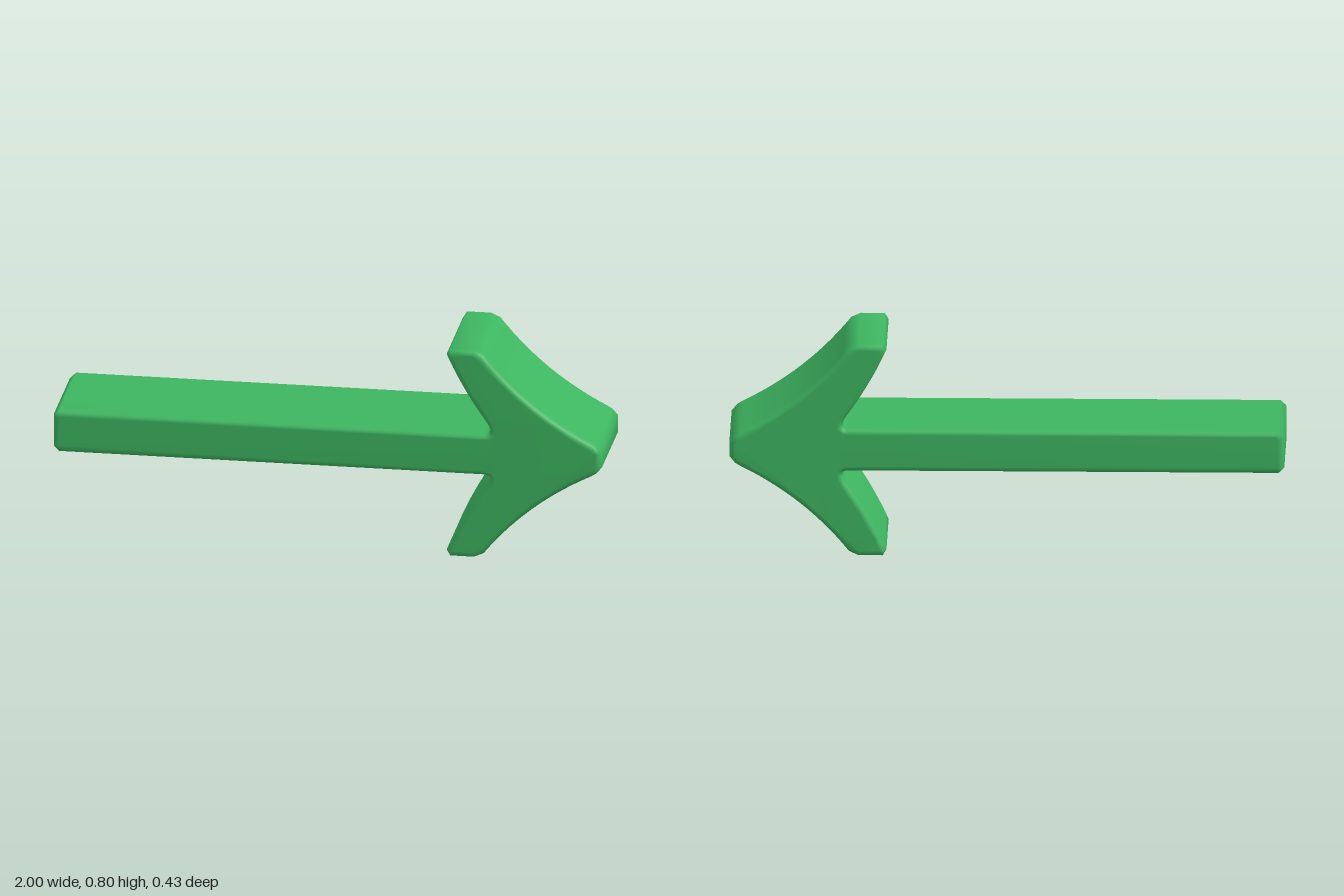
import * as THREE from 'three';
import { mergeVertices } from 'three/addons/utils/BufferGeometryUtils.js';

const MID = 0.399;        // height of the arrow's axis
const HALF_DEPTH = 0.213;
const BEVEL = 0.02, BEVEL_DEPTH = 0.025;

const p = (x, y) => new THREE.Vector2(x, y);
const curve = (a, b, c, n) => new THREE.QuadraticBezierCurve(a, b, c).getPoints(n);

// Upper half of the outline, from the shaft end to the arrow tip
function upperOutline() {
  return [
    p(-1, 0.458), p(-0.98, 0.478),                                      // shaft end
    ...curve(p(0.575, 0.478), p(0.603, 0.48), p(0.588, 0.508), 4),      // notch
    ...curve(p(0.578, 0.524), p(0.49, 0.647), p(0.434, 0.775), 10),     // back of barb
    p(0.447, 0.797), p(0.535, 0.797),                                   // barb end
    ...curve(p(0.57, 0.781), p(0.729, 0.579), p(0.962, 0.463), 14),     // swept front of barb
    p(0.98, 0.452), p(1, 0.428),                                        // blunt tip
  ];
}

export function createModel() {
  const green = new THREE.MeshStandardMaterial({ color: 0x3db560 });
  green.name = 'green';

  // Mirror the upper half about the axis to close the outline
  const upper = upperOutline();
  const lower = upper.map(v => p(v.x, 2 * MID - v.y)).reverse();
  const shape = new THREE.Shape([...upper, ...lower]);

  // Thick extrusion with softly rounded edges
  const extruded = new THREE.ExtrudeGeometry(shape, {
    depth: 2 * (HALF_DEPTH - BEVEL_DEPTH),
    bevelEnabled: true,
    bevelThickness: BEVEL_DEPTH,
    bevelSize: BEVEL,
    bevelOffset: -BEVEL,
    bevelSegments: 4,
  });
  extruded.translate(0, 0, -(HALF_DEPTH - BEVEL_DEPTH));

  // Weld so that the rounded edges shade smoothly
  extruded.deleteAttribute('normal');
  extruded.deleteAttribute('uv');
  extruded.clearGroups();
  const geometry = mergeVertices(extruded, 1e-5);
  geometry.computeVertexNormals();

  const arrow = new THREE.Mesh(geometry, green);
  arrow.name = 'arrow';

  const group = new THREE.Group();
  group.name = 'arrowSign';
  group.add(arrow);
  return group;
}
